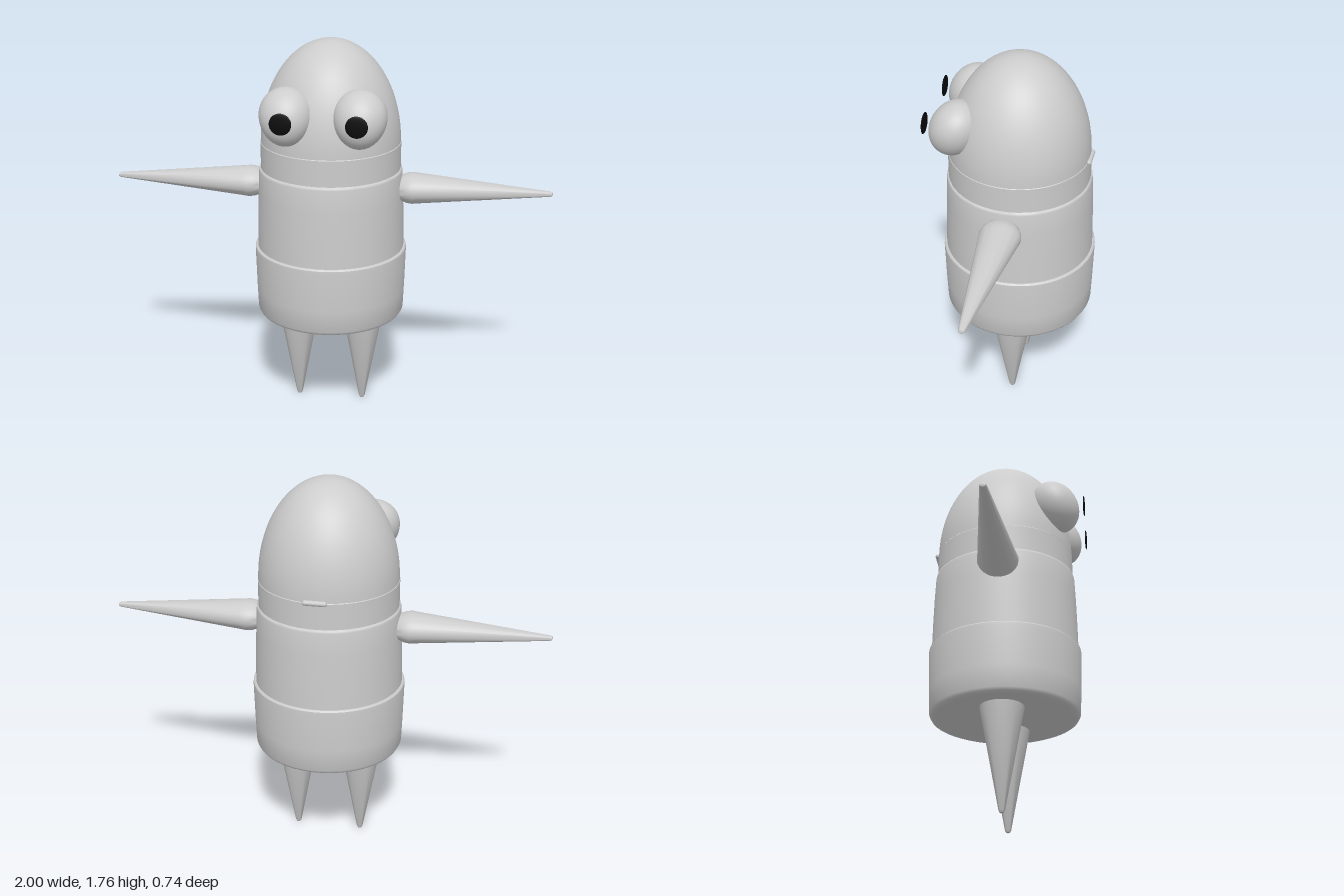
import * as THREE from 'three';
import { toCreasedNormals } from 'three/addons/utils/BufferGeometryUtils.js';

export function createModel() {
  const model = new THREE.Group();
  const grey = new THREE.MeshStandardMaterial({ color: 0xcccccc });
  grey.name = 'light grey';
  const black = new THREE.MeshStandardMaterial({ color: 0x0a0a0a });
  black.name = 'pupil black';
  const axisZ = -0.018; // the body sits slightly behind the origin

  function add(name, geometry, material, x, y, z) {
    const mesh = new THREE.Mesh(geometry, material);
    mesh.name = name;
    mesh.position.set(x, y, z);
    model.add(mesh);
    return mesh;
  }

  // Turned solid from [radius, height] pairs, listed from bottom to top
  function turned(profile, segments = 64) {
    const points = profile.map(([r, y]) => new THREE.Vector2(r, y));
    return toCreasedNormals(new THREE.LatheGeometry(points, segments), 0.7);
  }

  // Stacked body sections
  add('skirt', turned([
    [0, 0.477], [0.3, 0.477], [0.32, 0.479], [0.333, 0.485], [0.34, 0.498],
    [0.344, 0.6], [0.349, 0.785], [0.348, 0.798], [0.342, 0.804], [0.3, 0.806],
  ]), grey, 0, 0, axisZ);
  add('torso', turned([
    [0.337, 0.78], [0.334, 0.93], [0.33, 1.06], [0.325, 1.165],
    [0.323, 1.174], [0.317, 1.179], [0.29, 1.18],
  ]), grey, 0, 0, axisZ);
  add('neckBand', turned([
    [0.317, 1.15], [0.317, 1.297], [0.312, 1.302], [0.29, 1.302],
  ]), grey, 0, 0, axisZ);

  // Tall domed head
  const dome = [];
  for (let i = 0; i <= 28; i++) {
    const a = (i / 28) * Math.PI / 2;
    dome.push([0.315 * Math.cos(a), 1.3 + 0.46 * Math.sin(a)]);
  }
  add('head', turned(dome), grey, 0, 0, axisZ);

  // Small bar at the back of the head seam
  const bar = add('backBar', new THREE.CapsuleGeometry(0.012, 0.085, 4, 12), grey, 0, 1.3, -0.335);
  bar.rotation.z = Math.PI / 2;

  const armProfile = [
    [0, 0.29], [0.05, 0.3], [0.06, 0.33], [0.067, 0.35], [0.07, 0.375], [0.067, 0.4],
    [0.012, 0.985], [0.009, 0.996], [0, 1],
  ];
  const legProfile = [[0, 0], [0.009, 0.002], [0.014, 0.012], [0.1, 0.482], [0, 0.49]];

  for (const side of [1, -1]) {
    const prefix = side > 0 ? 'left' : 'right';

    // Outstretched tapering arm, deeper than it is tall
    const arm = add(prefix + 'Arm', turned(armProfile, 40), grey, 0, 1.087, axisZ);
    arm.rotation.z = -side * Math.PI / 2;
    arm.scale.z = 1.32;

    // Pointed leg
    add(prefix + 'Leg', turned(legProfile, 40), grey, side * 0.152, 0, axisZ);

    // Bulging eye, leaning forward towards its lower end
    const eyeGeometry = new THREE.SphereGeometry(1, 40, 28);
    eyeGeometry.scale(0.117, 0.125, 0.113);
    const p = eyeGeometry.attributes.position;
    for (let i = 0; i < p.count; i++) {
      const y = p.getY(i);
      p.setX(i, p.getX(i) * (1 + 0.6 * y));
      p.setZ(i, p.getZ(i) - 0.15 * y);
    }
    eyeGeometry.computeVertexNormals();
    add(prefix + 'Eye', eyeGeometry, grey, side * 0.16, 1.469, 0.228);

    // Thin domed pupil in front of the eye
    const pupil = add(prefix + 'Pupil', new THREE.SphereGeometry(0.048, 32, 16), black, side * 0.161, 1.472, 0.365);
    pupil.scale.z = 0.1;
  }

  return model;
}
